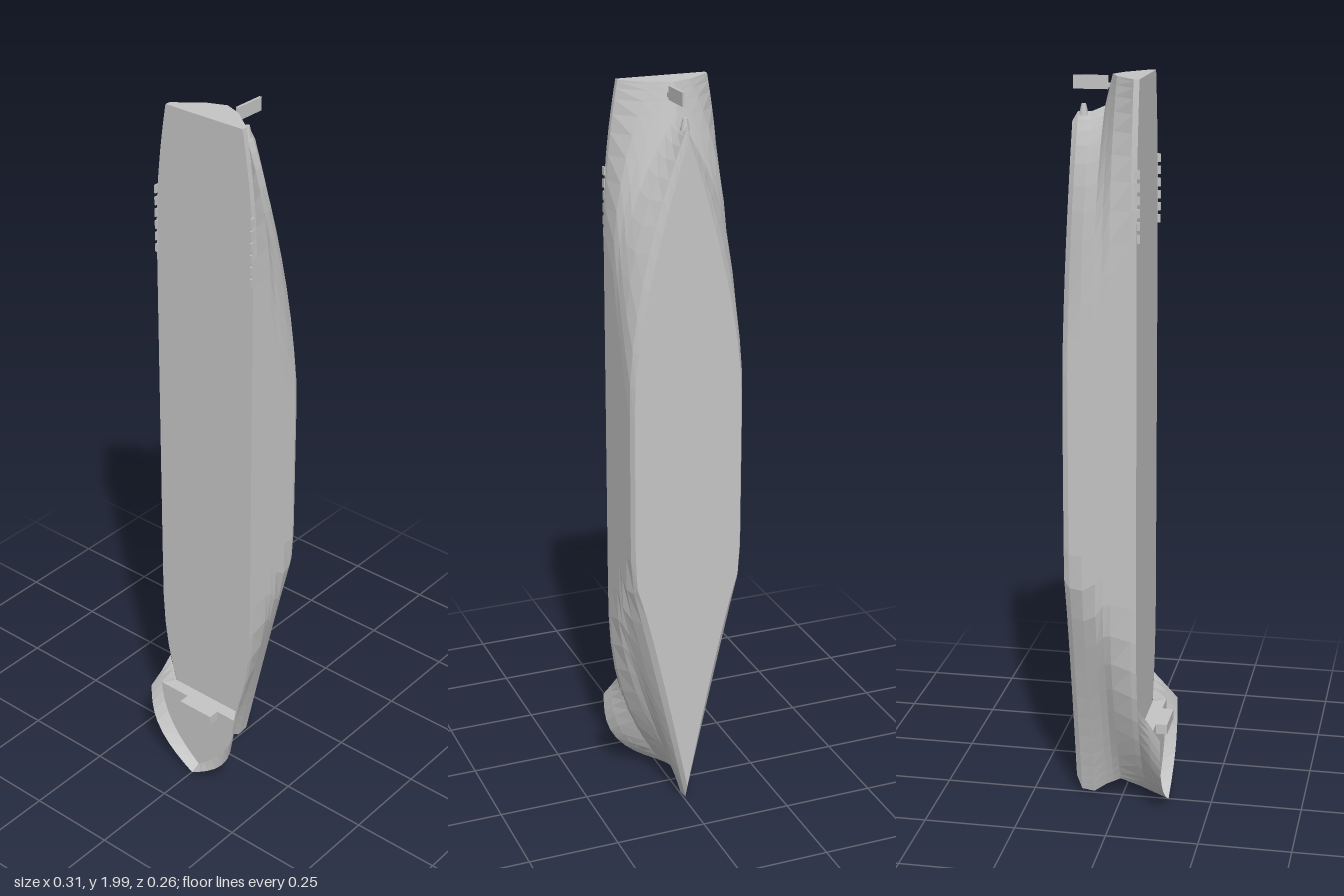
import * as THREE from 'three';

const grey = new THREE.MeshStandardMaterial({ color: 0xc4c4c4, side: THREE.DoubleSide });
grey.name = 'hullGrey';

const BEAM = 0.156; // half width amidships

// A waterline at depth z: it widens from the stem to `fore`, runs parallel to `aft`,
// then narrows to half width `end` at the stern. Powers set the fullness of each end.
const line = (z, stem, fore, bowPower, aft, stern, sternPower, end = 0) =>
  ({ z, stem, fore, bowPower, aft, stern, sternPower, end, beam: BEAM });

const waterlines = [
  line(-0.13, 0.06, 0.7, 0.85, 1.2, 1.88, 1.55),
  line(-0.115, 0.02, 0.7, 0.95, 1.2, 1.905, 1.8),
  line(-0.08, 0.015, 0.65, 1.05, 1.25, 1.905, 2.5),
  line(-0.045, 0.04, 0.62, 1.2, 1.35, 1.92, 2.7),
  line(-0.025, 0.05, 0.6, 1.3, 1.4, 2, 2.5),
  line(-0.005, 0.06, 0.6, 1.7, 1.5, 2, 2.3, 0.05),
  line(0.05, 0.042, 0.6, 2.5, 1.65, 2, 1.8, 0.12),
  line(0.065, 0.036, 0.6, 2.6, 1.65, 2, 1.8, 0.12),
];
waterlines[0].beam = 0.148;
const deckLine = waterlines[waterlines.length - 1];

// Bow lines end where they reach full width
const bowLine = (z, stem, fore, bowPower, beam) => ({ z, stem, fore, bowPower, beam, aft: fore, stern: fore });
const foredeckEdge = bowLine(0.1, 0.022, 0.29, 2.6, 0.138);
const bulwarkLines = [{ ...deckLine, stern: 0.33 }, foredeckEdge, bowLine(0.13, 0.01, 0.25, 3, 0.15)];

function widthAt(l, y) {
  if (y < l.fore) return l.beam * (1 - ((l.fore - y) / (l.fore - l.stem)) ** l.bowPower);
  if (y > l.aft) return l.beam - (l.beam - l.end) * ((y - l.aft) / (l.stern - l.aft)) ** l.sternPower;
  return l.beam;
}

// Samples one waterline, closer together near both ends
function row(l, side, n = 30) {
  return Array.from({ length: n + 1 }, (_, i) => {
    const y = l.stem + (l.stern - l.stem) * (1 - Math.cos(Math.PI * i / n)) / 2;
    return [side * widthAt(l, y), y, l.z];
  });
}

// Skins neighbouring rows of points with flat faces
function skin(rows, flip = false) {
  const pos = [];
  for (let r = 0; r < rows.length - 1; r++) {
    for (let i = 0; i < rows[r].length - 1; i++) {
      const a = rows[r][i], b = rows[r][i + 1], c = rows[r + 1][i + 1], d = rows[r + 1][i];
      pos.push(...(flip ? [a, c, b, a, d, c] : [a, b, c, a, c, d]).flat());
    }
  }
  const g = new THREE.BufferGeometry();
  g.setAttribute('position', new THREE.Float32BufferAttribute(pos, 3));
  g.computeVertexNormals();
  return g;
}

export function createModel() {
  const group = new THREE.Group();
  const add = (name, geometry, x = 0, y = 0, z = 0) => {
    const m = new THREE.Mesh(geometry, grey);
    m.name = name;
    m.position.set(x, y, z);
    group.add(m);
  };
  const cap = (l, flip) => skin([row(l, 1), row(l, -1)], flip);

  // Hull sides and the raised bow
  for (const s of [1, -1]) {
    const label = s > 0 ? 'left' : 'right';
    add(label + 'HullSide', skin(waterlines.map(l => row(l, s)), s < 0));
    add(label + 'Bulwark', skin(bulwarkLines.map(l => row(l, s, 12)), s < 0));
    // Short fairings along the deck edge near the stern
    for (let i = 0; i < 6; i++) {
      add(label + 'Fairing', new THREE.BoxGeometry(0.004, 0.022, 0.014), s * 0.153, 1.61 + i * 0.032, 0.066);
    }
  }

  // Flat bottom and decks
  add('bottom', cap(waterlines[0], true));
  add('mainDeck', cap(deckLine, false));
  add('foredeck', cap({ ...foredeckEdge, stern: 0.25 }, false));

  // Transom closing the stern
  const edge = s => waterlines.slice(4).map(l => [s * l.end, 2, l.z]);
  add('transom', skin([edge(1), edge(-1)], true));

  // Step from the main deck up to the foredeck, with a locker on top
  const step = s => [[s * 0.112, 0.25, 0.065], [s * 0.137, 0.25, 0.1]];
  add('foredeckStep', skin([step(1), step(-1)], true));
  add('locker', new THREE.BoxGeometry(0.11, 0.028, 0.032), 0.015, 0.236, 0.115);

  // Propeller hub, rudder and its stock
  add('propellerHub', new THREE.CylinderGeometry(0.006, 0.013, 0.03, 6), 0, 1.91, -0.1);
  add('rudder', new THREE.BoxGeometry(0.007, 0.035, 0.09), 0.016, 1.977, -0.085);
  add('rudderStock', new THREE.BoxGeometry(0.008, 0.012, 0.04), 0.014, 1.97, -0.04);

  return group;
}
